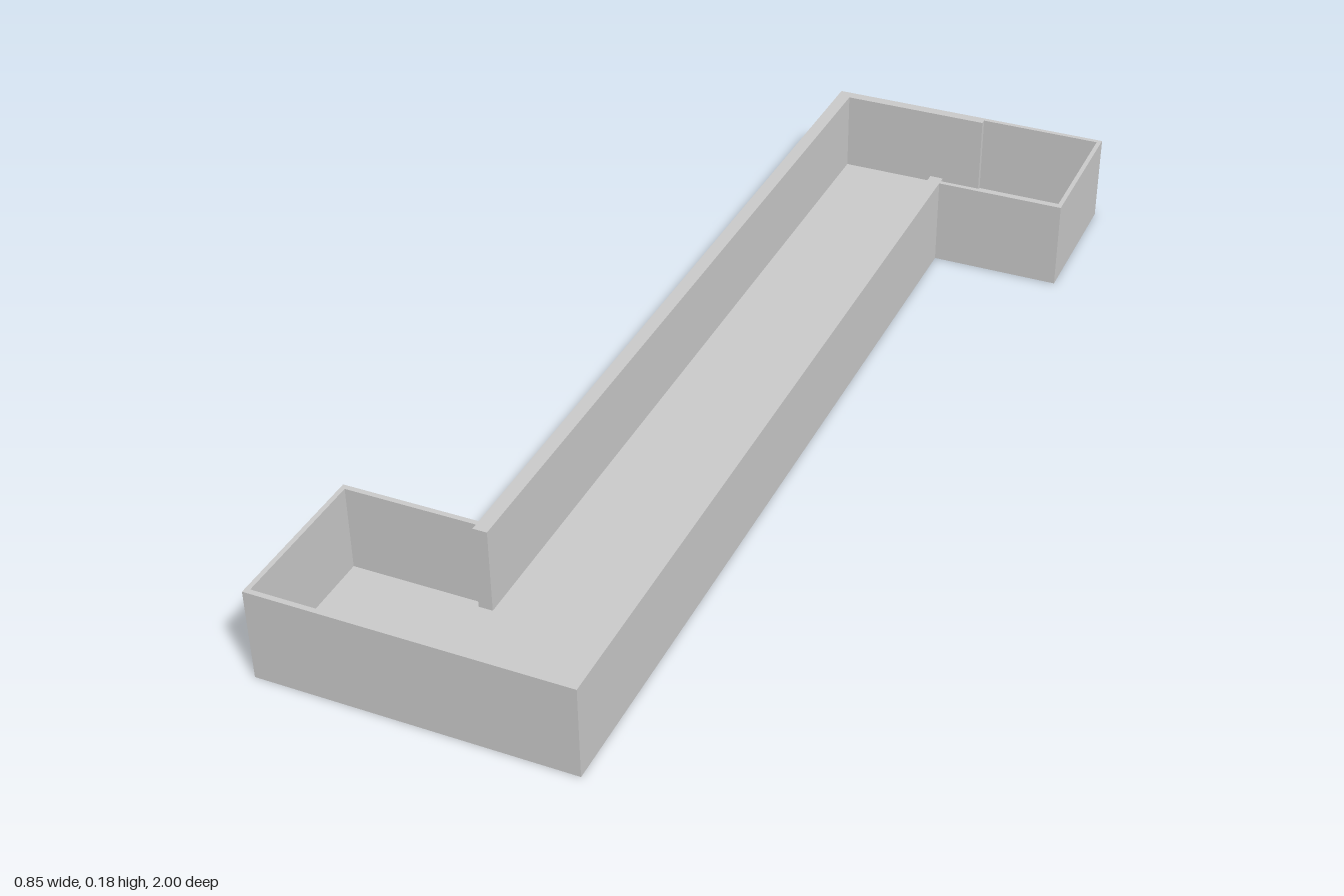
import * as THREE from 'three';

// Completes an outline by repeating its half turned 180 degrees about the centre
const fullOutline = (half) =>
  [...half, ...half.map(([x, y]) => [-x, -y])].map(([x, y]) => new THREE.Vector2(x, y));

// Extrudes a plan shape upwards from height y
function slab(name, shape, y, height, material) {
  const geometry = new THREE.ExtrudeGeometry(shape, { depth: height, bevelEnabled: false });
  geometry.rotateX(-Math.PI / 2);
  const mesh = new THREE.Mesh(geometry, material);
  mesh.position.y = y;
  mesh.name = name;
  return mesh;
}

export function createModel() {
  const group = new THREE.Group();
  group.name = 'tray';
  const material = new THREE.MeshStandardMaterial({ color: 0xcccccc, flatShading: true });
  const height = 0.18, floorThickness = 0.013;

  // Long channel with a square end turning off to opposite sides
  const outer = fullOutline([[0.167, -1], [0.167, 0.69], [0.427, 0.69], [0.427, 1]]);

  // Inside edge: thick walls on the channel, thinner ones on the ends
  const inner = fullOutline([
    [0.14, -0.978], [0.14, 0.712], [0.167, 0.712], [0.167, 0.7],
    [0.418, 0.7], [0.418, 0.99], [0.167, 0.99], [0.167, 0.978],
  ]);

  // Floor fills the inside of the walls
  group.add(slab('floor', new THREE.Shape(inner), 0, floorThickness, material));

  // Walls run the full height around the floor
  const wallShape = new THREE.Shape(outer);
  wallShape.holes.push(new THREE.Path(inner));
  group.add(slab('walls', wallShape, 0, height, material));

  return group;
}
